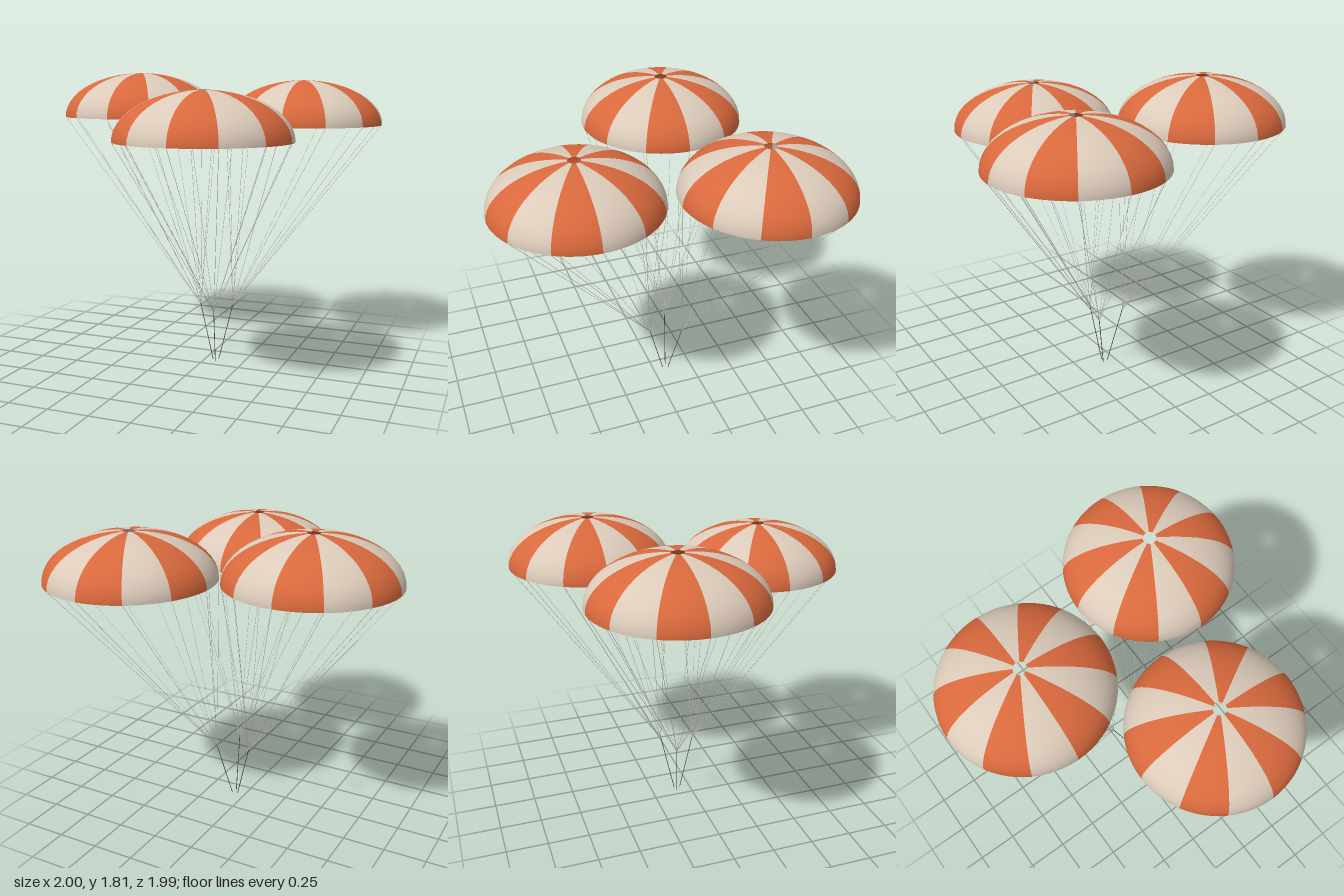
import * as THREE from 'three';
import { mergeGeometries } from 'three/addons/utils/BufferGeometryUtils.js';

const RADIUS = 0.495, HEIGHT = 0.276, VENT = 0.075, GORES = 12;
const STEP = (Math.PI * 2) / GORES;

function material(name, color, side = THREE.FrontSide) {
  const m = new THREE.MeshStandardMaterial({ color, side });
  m.name = name;
  return m;
}

function named(name, geometry, mat) {
  const mesh = new THREE.Mesh(geometry, mat);
  mesh.name = name;
  return mesh;
}

// One curved fabric panel, running from the vent hole down to the rim
function gore(k) {
  return new THREE.SphereGeometry(RADIUS, 6, 12, Math.PI + k * STEP, STEP, VENT, Math.PI / 2 - VENT)
    .scale(1, HEIGHT / RADIUS, 1);
}

// Thin straight cord between two points
function cord(a, b, radius, sides) {
  const dir = b.clone().sub(a);
  const g = new THREE.CylinderGeometry(radius, radius, dir.length(), sides);
  g.applyQuaternion(new THREE.Quaternion().setFromUnitVectors(
    new THREE.Vector3(0, 1, 0), dir.clone().normalize()));
  const mid = a.clone().add(b).multiplyScalar(0.5);
  return g.translate(mid.x, mid.y, mid.z);
}

export function createModel() {
  const orange = material('orange fabric', 0xd9693d, THREE.DoubleSide);
  const cream = material('cream fabric', 0xdccbba, THREE.DoubleSide);
  const lineMat = material('suspension cord', 0xc4bcae);
  const riserMat = material('dark riser webbing', 0x4a4642);

  // Rim centre, point where the lines gather, and foot of the riser
  const chutes = [
    { name: 'leftRearParachute', rim: [0.5, 1.485, -0.5], knot: [0.155, 0.35, -0.165], foot: [0.085, 0, -0.1] },
    { name: 'rightParachute', rim: [-0.505, 1.53, -0.253], knot: [-0.045, 0.35, -0.12], foot: [0.05, 0, -0.093] },
    { name: 'frontParachute', rim: [0.21, 1.435, 0.495], knot: [0.1, 0.35, 0.032], foot: [0.075, 0, -0.065] },
  ];

  const model = new THREE.Group();
  model.name = 'parachuteCluster';

  for (const c of chutes) {
    const chute = new THREE.Group();
    chute.name = c.name;
    const rim = new THREE.Vector3(...c.rim);
    const knot = new THREE.Vector3(...c.knot);
    const foot = new THREE.Vector3(...c.foot);

    // Alternating gores, with one line from each seam to the knot
    const panels = [[], []], lines = [];
    for (let k = 0; k < GORES; k++) {
      panels[k % 2].push(gore(k));
      const seam = new THREE.Vector3(Math.cos(k * STEP), 0, -Math.sin(k * STEP))
        .multiplyScalar(RADIUS - 0.002).add(rim);
      lines.push(cord(knot, seam, 0.0012, 4));
    }
    const canopy = new THREE.Group();
    canopy.name = 'canopy';
    canopy.position.copy(rim);
    canopy.add(
      named('creamGores', mergeGeometries(panels[0]), cream),
      named('orangeGores', mergeGeometries(panels[1]), orange));

    chute.add(canopy,
      named('suspensionLines', mergeGeometries(lines), lineMat),
      named('riser', cord(foot, knot, 0.0022, 6), riserMat));
    model.add(chute);
  }
  return model;
}
